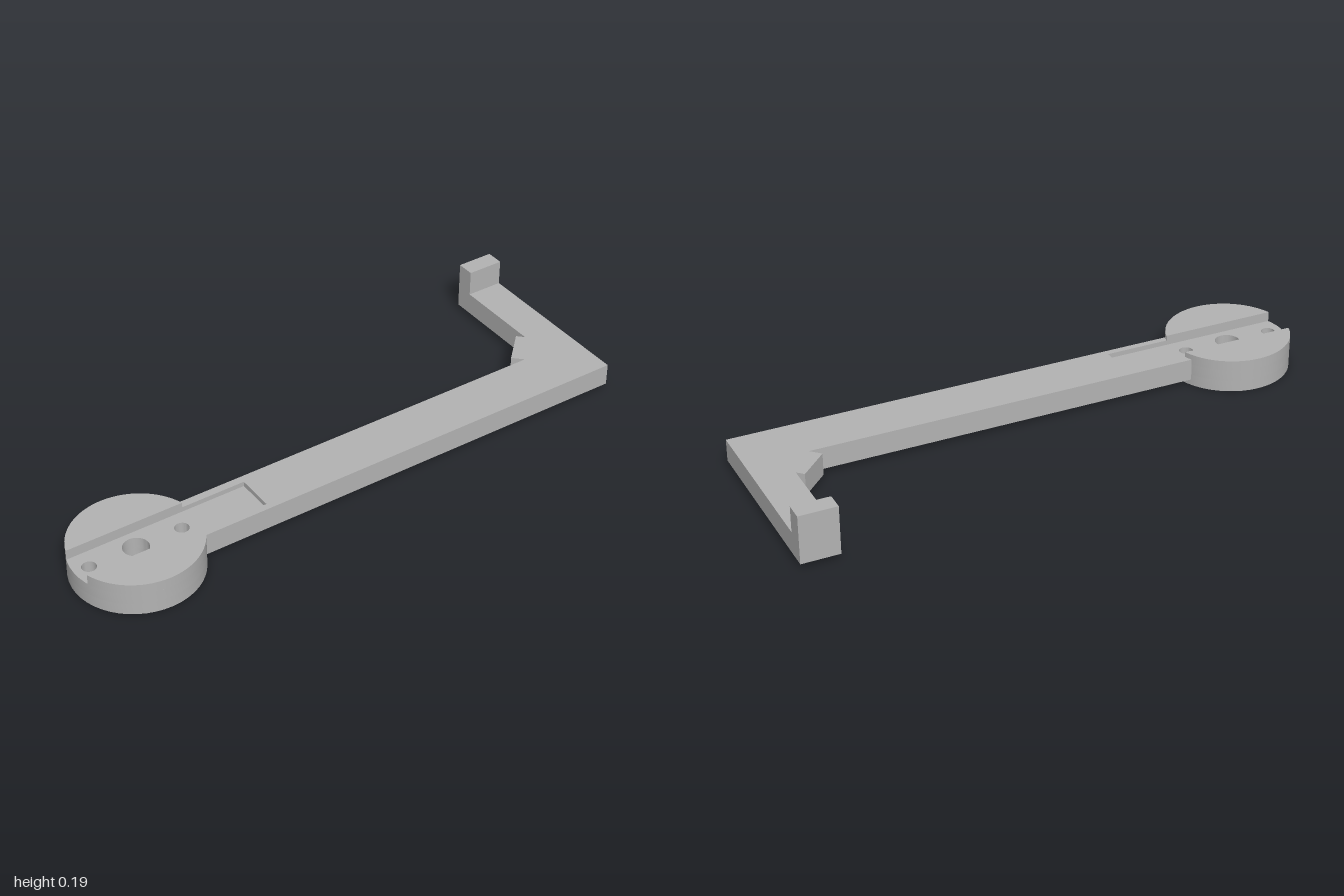
import * as THREE from 'three';
import { toCreasedNormals } from 'three/addons/utils/BufferGeometryUtils.js';

const grey = new THREE.MeshStandardMaterial({ color: 0xb3b3b3 });
grey.name = 'grey plastic';

// Plan outlines use (x, -z); the disc is centred here
const CX = -0.785, CY = -0.178, R = 0.215;
const GROOVE = 0.066, GROOVE_END = -0.355, GROOVE_FLOOR = 0.08;
const HOLE_OFFSET = 0.163;
const ARM_BACK = -0.085, ARM_FRONT = -0.267, ARM_BOTTOM = 0.02, ARM_TOP = 0.097;

// Upright slab from a plan outline between two heights
function slab(name, shape, y0, y1) {
  const geo = new THREE.ExtrudeGeometry(shape, { depth: y1 - y0, bevelEnabled: false, curveSegments: 24 });
  geo.rotateX(-Math.PI / 2).translate(0, y0, 0);
  const mesh = new THREE.Mesh(toCreasedNormals(geo, 0.5), grey);
  mesh.name = name;
  return mesh;
}

function ring(x, r, sides) {
  const pts = [];
  for (let i = 0; i < sides; i++) {
    const a = -i / sides * Math.PI * 2;
    pts.push(new THREE.Vector2(x + r * Math.cos(a), CY + r * Math.sin(a)));
  }
  return new THREE.Path(pts);
}

// Round layer with a centre bore and two side holes
function discLayer(sideRadius, sides) {
  const s = new THREE.Shape().absarc(CX, CY, R, 0, Math.PI * 2, false);
  s.holes.push(ring(CX, 0.043, 32));
  for (const k of [-1, 1]) s.holes.push(ring(CX + k * HOLE_OFFSET, sideRadius, sides));
  return s;
}

// Raised half beside the groove
function cheek(side) {
  const a = Math.asin(GROOVE / R);
  const start = side > 0 ? a : Math.PI + a;
  return new THREE.Shape().absarc(CX, CY, R, start, start + Math.PI - 2 * a, false);
}

// Arm and leg outline, its root fitted to the disc; optionally notched by the groove
function armOutline(notched) {
  const r = R - 0.004;
  const at = dy => Math.asin(dy / r);
  const s = new THREE.Shape();
  const front = at(ARM_FRONT - CY), back = at(ARM_BACK - CY);
  s.moveTo(1, ARM_FRONT);
  s.lineTo(1, 0.395);
  s.lineTo(0.87, 0.395);
  s.lineTo(0.87, 0.018);
  // corner brace
  s.lineTo(0.848, 0.04);
  s.lineTo(0.755, -0.052);
  s.lineTo(0.788, ARM_BACK);
  if (notched) {
    const g = at(GROOVE);
    s.absarc(CX, CY, r, back, g, true);
    s.lineTo(GROOVE_END, CY + GROOVE);
    s.lineTo(GROOVE_END, CY - GROOVE);
    s.absarc(CX, CY, r, -g, front, true);
  } else {
    s.absarc(CX, CY, r, back, front, true);
  }
  s.lineTo(1, ARM_FRONT);
  return s;
}

export function createModel() {
  const model = new THREE.Group();
  model.name = 'lever arm';

  // Pivot disc: hex nut pockets below, round holes above, cheeks on top
  const disc = new THREE.Group();
  disc.name = 'pivotDisc';
  disc.add(
    slab('nutPocketLayer', discLayer(0.038, 6), 0, 0.04),
    slab('screwHoleLayer', discLayer(0.024, 24), 0.04, GROOVE_FLOOR),
    slab('backCheek', cheek(1), GROOVE_FLOOR, 0.115),
    slab('frontCheek', cheek(-1), GROOVE_FLOOR, 0.115)
  );

  // L-shaped arm with the groove running into its top
  const arm = new THREE.Group();
  arm.name = 'arm';
  arm.add(
    slab('armBase', armOutline(false), ARM_BOTTOM, GROOVE_FLOOR),
    slab('armTop', armOutline(true), GROOVE_FLOOR, ARM_TOP)
  );

  // Upright stop at the end of the leg
  const post = new THREE.Mesh(new THREE.BoxGeometry(0.13, 0.187 - ARM_TOP, 0.062), grey);
  post.position.set(0.935, (0.187 + ARM_TOP) / 2, -0.364);
  post.name = 'endPost';

  model.add(disc, arm, post);
  return model;
}
